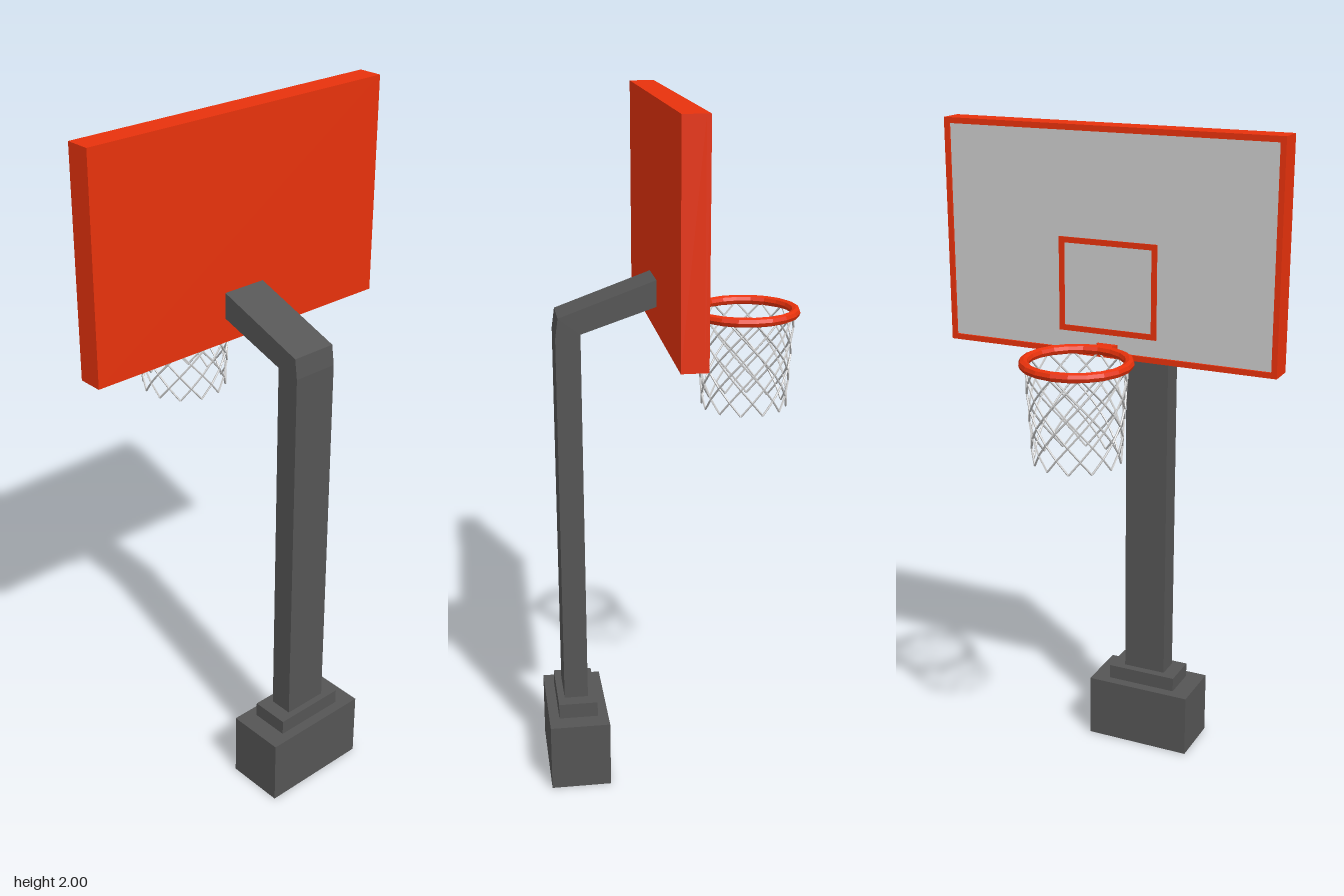
import * as THREE from 'three';

const paint = (color, extra = {}) => new THREE.MeshStandardMaterial({ color, flatShading: true, ...extra });
const RED = paint(0xe8320c);
const DARK = paint(0x555555);
const PALE = paint(0xcccccc);

function add(group, name, geometry, material, x = 0, y = 0, z = 0) {
  const mesh = new THREE.Mesh(geometry, material);
  mesh.name = name;
  mesh.position.set(x, y, z);
  group.add(mesh);
  return mesh;
}

// Box given by its width and its y and z ranges, centred on x
function slab(group, name, material, w, y0, y1, z0, z1) {
  return add(group, name, new THREE.BoxGeometry(w, y1 - y0, z1 - z0), material, 0, (y0 + y1) / 2, (z0 + z1) / 2);
}

const polygon = (points) => new THREE.Shape(points.map(([x, y]) => new THREE.Vector2(x, y)));
const extrude = (shape, depth) => new THREE.ExtrudeGeometry(shape, { depth, bevelEnabled: false });

// Rectangular outline of line width t
function outline(w, y0, y1, t, depth) {
  const rect = (a, b, c) => [[-a, b], [a, b], [a, c], [-a, c]];
  const shape = polygon(rect(w / 2, y0, y1));
  shape.holes.push(polygon(rect(w / 2 - t, y0 + t, y1 - t)));
  return extrude(shape, depth);
}

// Net of strands winding both ways, with straight runs between the knots
function buildNet() {
  const net = new THREE.Group();
  net.name = 'net';
  const strands = 12, rows = 7, top = 1.395, bottom = 1.122;
  for (const dir of [1, -1]) {
    const path = new THREE.CurvePath();
    const knots = [];
    for (let i = 0; i <= rows; i++) {
      const t = i / rows;
      const r = 0.14 - 0.018 * t;
      const a = dir * i * Math.PI / strands;
      knots.push(new THREE.Vector3(r * Math.sin(a), top + (bottom - top) * t, r * Math.cos(a)));
    }
    for (let i = 0; i < rows; i++) path.add(new THREE.LineCurve3(knots[i], knots[i + 1]));
    const geometry = new THREE.TubeGeometry(path, rows * 2, 0.003, 5, false);
    for (let s = 0; s < strands; s++) {
      add(net, 'netStrand', geometry, PALE).rotation.y = s * 2 * Math.PI / strands;
    }
  }
  return net;
}

export function createModel() {
  const model = new THREE.Group();
  model.name = 'basketballHoop';

  // Stepped base
  slab(model, 'base', DARK, 0.336, 0, 0.2, 0.199, 0.375);
  slab(model, 'baseStep', DARK, 0.222, 0.2, 0.245, 0.23, 0.345);

  // Bent post, drawn in side profile as (-z, y) and extruded across x
  const post = extrude(polygon([
    [-0.325, 0.24], [-0.255, 0.24], [-0.255, 1.365], [-0.04, 1.437],
    [-0.04, 1.512], [-0.317, 1.412], [-0.325, 1.355],
  ]), 0.136);
  post.translate(0, 0, -0.068).rotateY(Math.PI / 2);
  add(model, 'post', post, DARK);

  // Backboard: slab, raised border, pale panel and target square
  slab(model, 'backboard', RED, 1, 1.365, 2, -0.018, 0.043);
  add(model, 'backboardBorder', outline(1, 1.365, 2, 0.016, 0.012), RED, 0, 0, -0.03);
  slab(model, 'panel', PALE, 0.968, 1.381, 1.984, -0.024, -0.018);
  add(model, 'targetSquare', outline(0.296, 1.43, 1.695, 0.016, 0.005), RED, 0, 0, -0.027);

  // Flared bracket from board to rim
  const bracket = extrude(polygon([
    [-0.03, 0.022], [0.03, 0.022], [0.03, 0.032], [0.024, 0.04],
    [0.024, 0.08], [-0.024, 0.08], [-0.024, 0.04], [-0.03, 0.032],
  ]), 0.012);
  bracket.rotateX(-Math.PI / 2);
  add(model, 'rimBracket', bracket, RED, 0, 1.392, 0);

  // Rim and net
  const hoop = new THREE.Group();
  hoop.name = 'hoop';
  hoop.position.z = -0.221;
  add(hoop, 'rim', new THREE.TorusGeometry(0.143, 0.014, 8, 20), RED, 0, 1.4, 0).rotation.x = Math.PI / 2;
  hoop.add(buildNet());
  model.add(hoop);

  return model;
}
